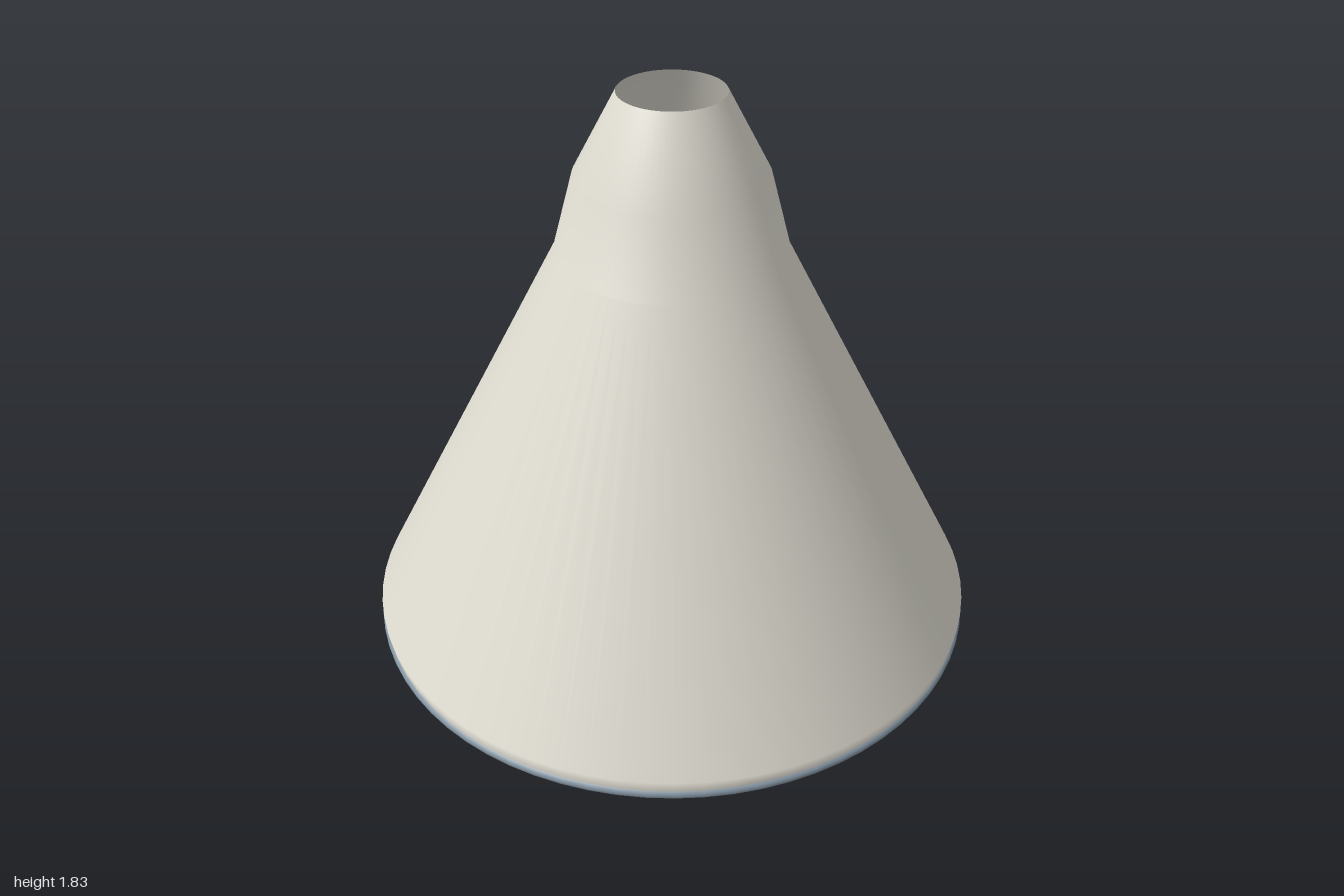
import * as THREE from 'three';

export function createModel() {
  const group = new THREE.Group();
  group.name = 'lampShade';

  const shadeMaterial = new THREE.MeshStandardMaterial({ color: 0xdedbd0, side: THREE.DoubleSide });
  shadeMaterial.name = 'warm white';
  const rimMaterial = new THREE.MeshStandardMaterial({ color: 0x8494a2 });
  rimMaterial.name = 'blue grey';

  // Open conical shade with a stepped neck and a short upright lip
  const profile = [
    [0.99, 0.02], [0.998, 0.07], [0.365, 1.32], [0.3, 1.57], [0.165, 1.83],
  ].map(([r, y]) => new THREE.Vector2(r, y));
  const shade = new THREE.Mesh(new THREE.LatheGeometry(profile, 72), shadeMaterial);
  shade.name = 'shade';
  group.add(shade);

  // Rounded ring around the bottom opening
  const tube = 0.016;
  const rim = new THREE.Mesh(new THREE.TorusGeometry(1 - tube, tube, 12, 72), rimMaterial);
  rim.name = 'bottomRim';
  rim.rotation.x = Math.PI / 2;
  rim.position.y = tube;
  group.add(rim);

  return group;
}
